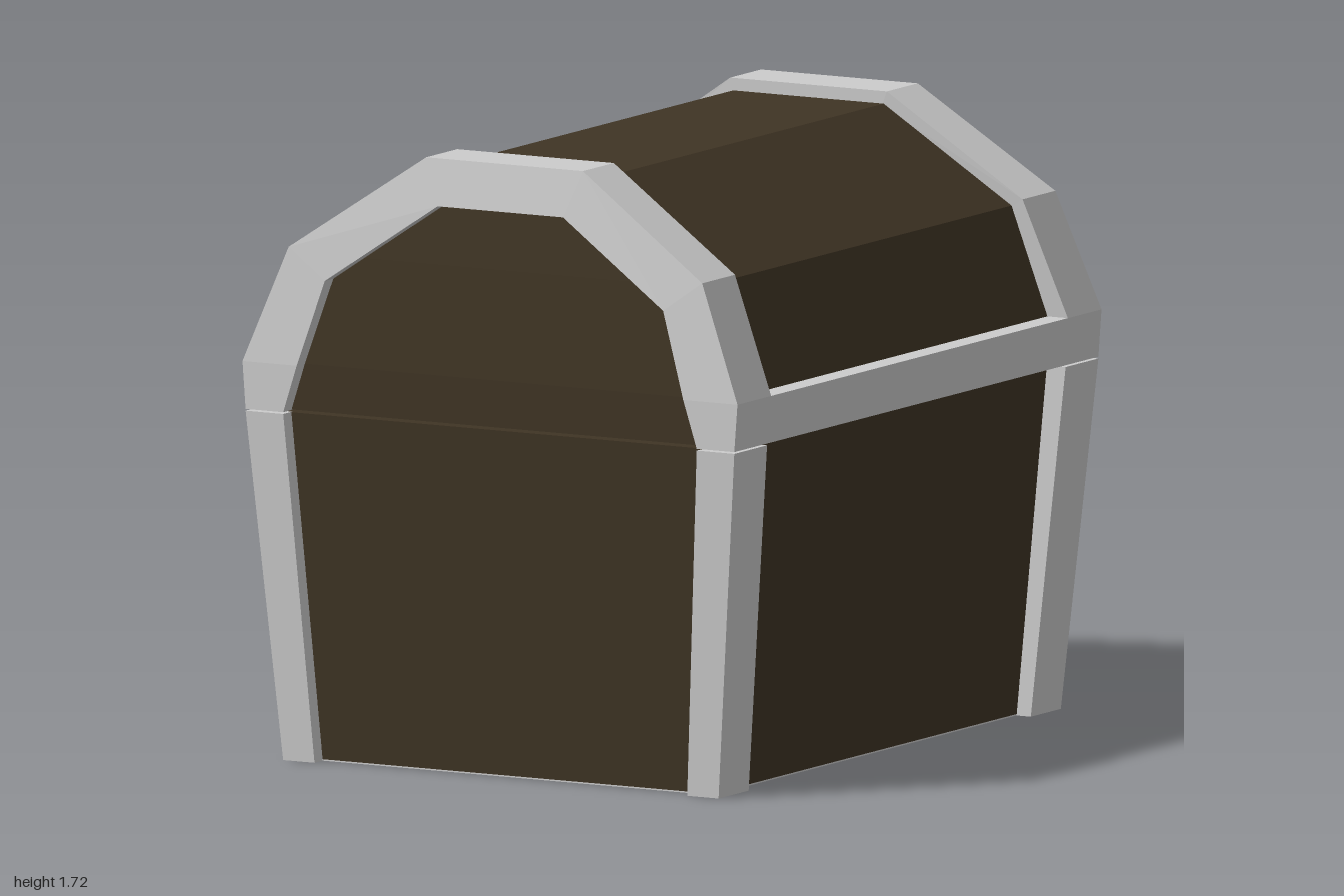
import * as THREE from 'three';

const grey = new THREE.MeshStandardMaterial({ color: 0xcccccc, flatShading: true });
const wood = new THREE.MeshStandardMaterial({ color: 0x3f3424, flatShading: true });

// Skin a run of closed rings and cap both ends; faces are turned outward by signed volume.
function loft(name, rings, material) {
  const n = rings[0].length;
  const points = rings.flat().map((p) => new THREE.Vector3(...p));
  const tris = [];
  for (let r = 0; r < rings.length - 1; r++) {
    for (let i = 0; i < n; i++) {
      const a = r * n + i, b = r * n + (i + 1) % n;
      tris.push([a, b, b + n], [a, b + n, a + n]);
    }
  }
  const last = (rings.length - 1) * n;
  for (let i = 1; i < n - 1; i++) {
    tris.push([0, i + 1, i], [last, last + i, last + i + 1]);
  }
  let volume = 0;
  const cross = new THREE.Vector3();
  for (const [a, b, c] of tris) volume += points[a].dot(cross.crossVectors(points[b], points[c]));
  if (volume < 0) tris.forEach((t) => t.reverse());
  const geometry = new THREE.BufferGeometry().setFromPoints(tris.flat().map((i) => points[i]));
  geometry.computeVertexNormals();
  const mesh = new THREE.Mesh(geometry, material);
  mesh.name = name;
  return mesh;
}

// Rectangle of half sizes x and z at height y.
const level = ([y, x, z]) => [[x, y, z], [x, y, -z], [-x, y, -z], [-x, y, z]];

// Straight interpolation through [y, value] pairs.
function along(pairs, y) {
  let i = 0;
  while (i < pairs.length - 2 && y > pairs[i + 1][0]) i++;
  const [y0, v0] = pairs[i], [y1, v1] = pairs[i + 1];
  return v0 + (v1 - v0) * (y - y0) / (y1 - y0);
}

export function createModel() {
  const chest = new THREE.Group();
  chest.name = 'chest';

  // Tapered wooden box and its floor
  chest.add(loft('body', [[0.004, 0.65, 0.895], [0.976, 0.72, 0.955]].map(level), wood));
  chest.add(loft('floor', [[0, 0.65, 0.895], [0.004, 0.65, 0.895]].map(level), grey));

  // Faceted wooden lid
  const lidLevels = [[0.984, 0.73, 0.955], [1.115, 0.725, 0.955], [1.42, 0.625, 0.925], [1.68, 0.24, 0.885]];
  chest.add(loft('lid', lidLevels.map(level), wood));

  // L-shaped corner posts, ring starting at the inside corner
  const post = (y, out, wall, inner, sx, sz) => [
    [wall[0], wall[1]], [inner[0], wall[1]], [inner[0], out[1]],
    [out[0], out[1]], [out[0], inner[1]], [wall[0], inner[1]],
  ].map(([x, z]) => [x * sx, y, z * sz]);
  for (const sx of [-1, 1]) {
    for (const sz of [-1, 1]) {
      chest.add(loft('cornerPost', [
        post(0, [0.695, 0.94], [0.645, 0.89], [0.595, 0.775], sx, sz),
        post(0.977, [0.78, 1], [0.715, 0.95], [0.66, 0.82], sx, sz),
      ], grey));
    }
  }

  // Arched lid frames: outer edge, lid surface, inner edge and rear z per station
  const faceZ = [[0.98, 1], [1.115, 1], [1.44, 0.97], [1.715, 0.92]];
  const half = [
    { out: [0.78, 0.982], lid: [0.72, 0.982], inner: [0.66, 0.982], rear: 0.82 },
    { out: [0.79, 1.115], lid: [0.72, 1.11], inner: [0.617, 1.115], rear: 0.815 },
    { out: [0.66, 1.44], lid: [0.62, 1.415], inner: [0.54, 1.355], rear: 0.79 },
    { out: [0.25, 1.715], lid: [0.235, 1.675], inner: [0.2, 1.585], rear: 0.75 },
  ];
  const stations = [
    ...half.map((s) => ({ ...s, sx: 1 })),
    ...half.map((s) => ({ ...s, sx: -1 })).reverse(),
  ];
  for (const sz of [-1, 1]) {
    const rings = stations.map(({ out, lid, inner, rear, sx }) => {
      const at = ([x, y], z) => [x * sx, y, z * sz];
      const front = (p) => along(faceZ, p[1]);
      return [
        at(lid, front(lid) - 0.05), at(inner, front(inner) - 0.05), at(inner, front(inner)),
        at(out, front(out)), at(out, rear), at(lid, rear),
      ];
    });
    chest.add(loft('lidArch', rings, grey));
  }

  // Rails along the lower edge of the lid
  for (const sx of [-1, 1]) {
    const rail = (z) => [[0.715, 0.982], [0.78, 0.982], [0.79, 1.115], [0.715, 1.115]]
      .map(([x, y]) => [x * sx, y, z]);
    chest.add(loft('lidRail', [rail(-0.82), rail(0.82)], grey));
  }

  // Latch plate hanging from the rail on the right side
  const latch = (z) => [[0.69, 0.69], [0.73, 0.69], [0.755, 1], [0.71, 1]]
    .map(([x, y]) => [-x, y, z]);
  chest.add(loft('latch', [latch(-0.17), latch(0.17)], grey));

  return chest;
}
